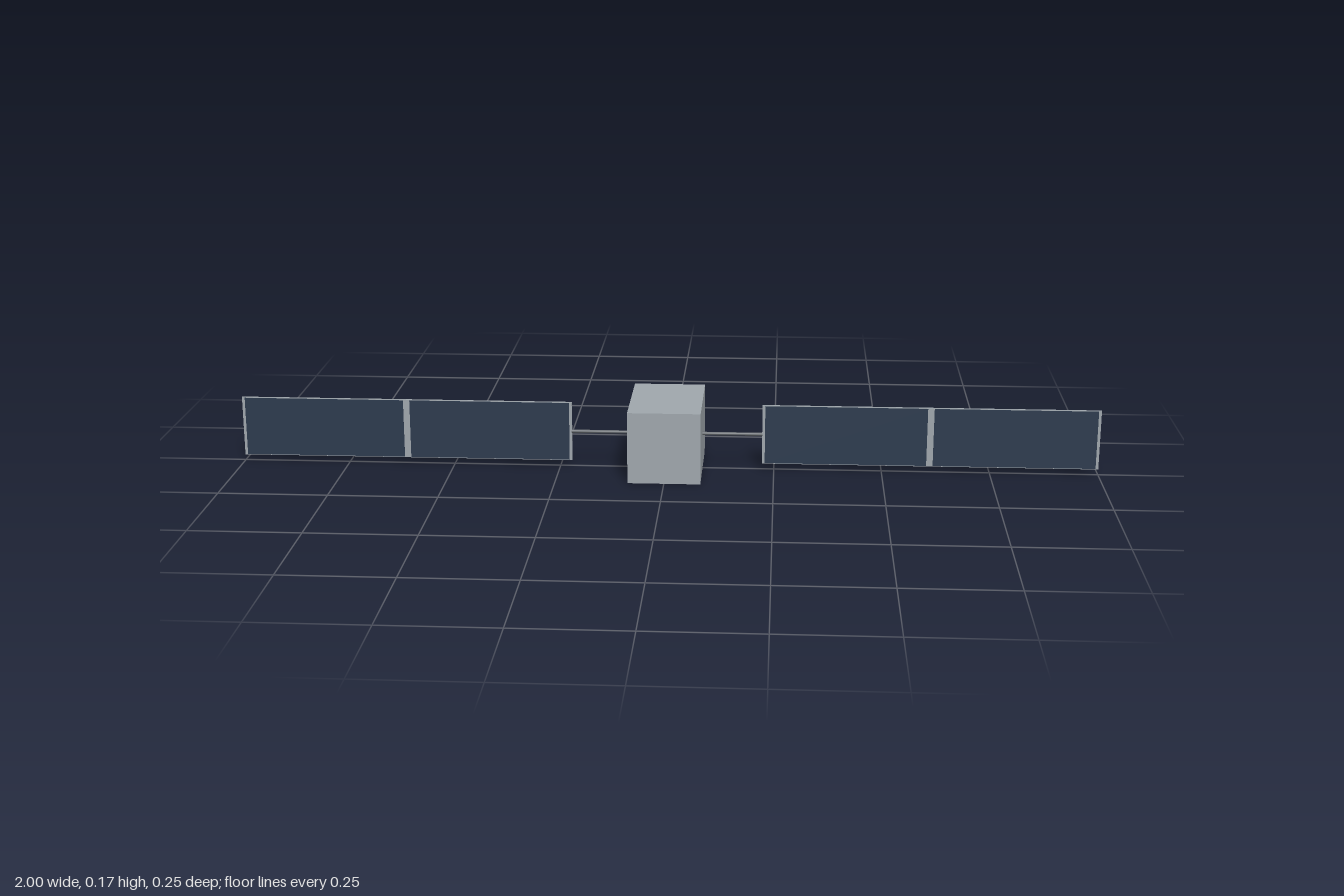
import * as THREE from 'three';

export function createModel() {
  const group = new THREE.Group();
  group.name = 'satellite';

  const hull = new THREE.MeshStandardMaterial({ color: 0xa0a7ad });
  hull.name = 'hull grey';
  const cell = new THREE.MeshStandardMaterial({ color: 0x2c3a4e });
  cell.name = 'solar cell navy';
  const strut = new THREE.MeshStandardMaterial({ color: 0x62676c });
  strut.name = 'strut grey';

  const midY = 0.084;
  const add = (name, geometry, material, x, y, z) => {
    const mesh = new THREE.Mesh(geometry, material);
    mesh.name = name;
    mesh.position.set(x, y, z);
    group.add(mesh);
    return mesh;
  };

  // Central body
  add('body', new THREE.BoxGeometry(0.167, 0.167, 0.25), hull, 0, 0.0835, 0);

  for (const [side, s] of [['left', 1], ['right', -1]]) {
    // Thin round boom from the body to the wing
    const boom = new THREE.CylinderGeometry(0.004, 0.004, 0.141, 12);
    boom.rotateZ(Math.PI / 2);
    add(`${side}Boom`, boom, strut, s * 0.1525, midY, 0);

    // Wing backing panel
    add(`${side}Panel`, new THREE.BoxGeometry(0.778, 0.141, 0.005), hull, s * 0.611, midY, 0);

    // Two solar cells on the front face, separated by a narrow strip
    for (const [place, x] of [['Inner', 0.416], ['Outer', 0.806]]) {
      add(`${side}${place}Cell`, new THREE.BoxGeometry(0.375, 0.138, 0.001), cell, s * x, midY, 0.0027);
    }
  }
  return group;
}
